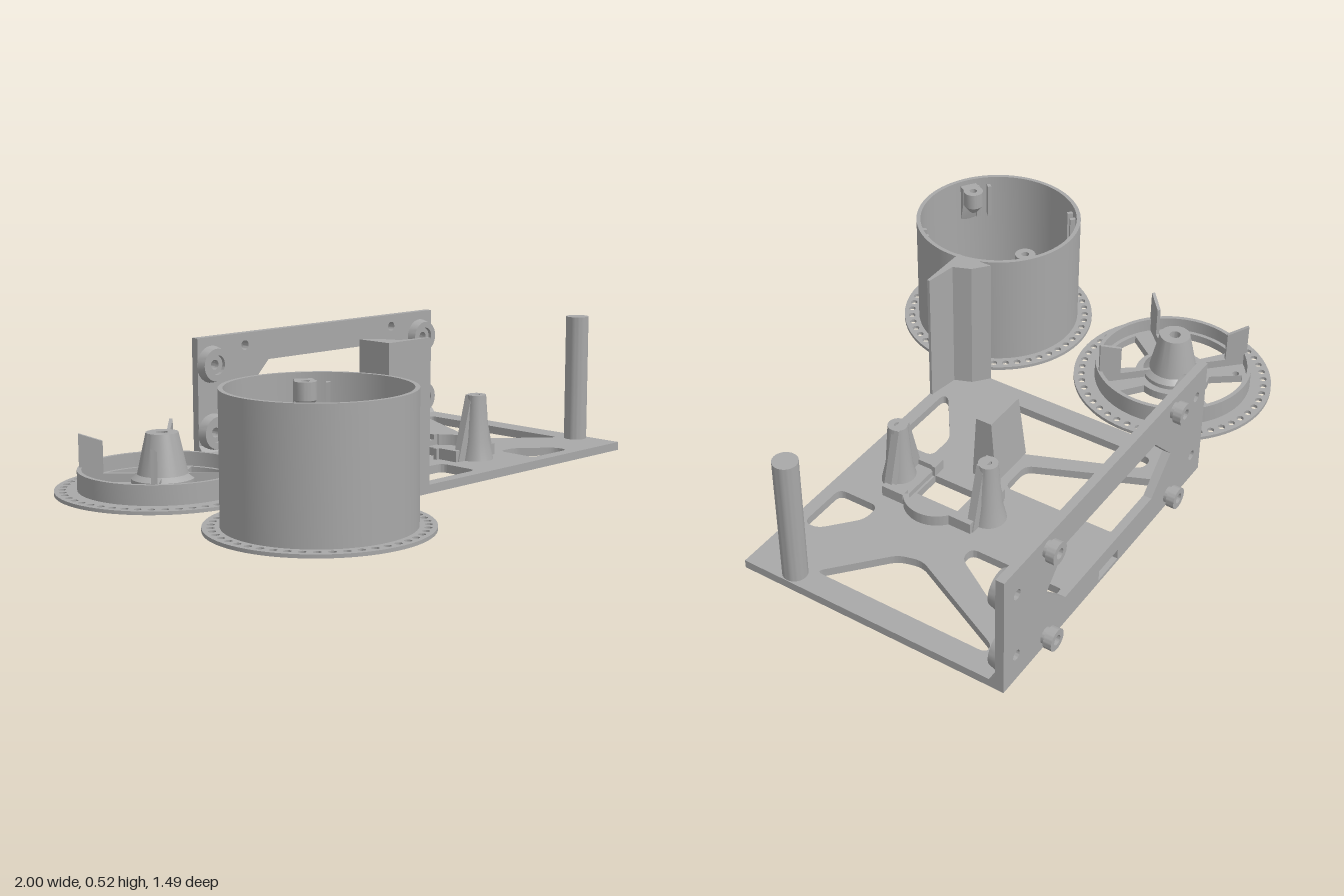
import * as THREE from 'three';
import { toCreasedNormals, mergeGeometries } from 'three/addons/utils/BufferGeometryUtils.js';

const plastic = new THREE.MeshStandardMaterial({ color: 0xa8a8a8 });
plastic.name = 'grey plastic';

function add(parent, name, geo, x = 0, y = 0, z = 0) {
  const mesh = new THREE.Mesh(toCreasedNormals(geo, 0.5), plastic);
  mesh.name = name;
  mesh.position.set(x, y, z);
  parent.add(mesh);
  return mesh;
}

const poly = (pts) => new THREE.Shape(pts.map(([x, y]) => new THREE.Vector2(x, y)));
const circle = (x, y, r) => new THREE.Path().absarc(x, y, r, 0, Math.PI * 2);

// closed outline whose corners are softened by curves
function rounded(pts, r = 0.03) {
  const v = pts.map(([x, y]) => new THREE.Vector2(x, y));
  const path = new THREE.Path();
  v.forEach((p, i) => {
    const prev = v[(i + v.length - 1) % v.length], next = v[(i + 1) % v.length];
    const toward = (q) => p.clone().lerp(q, Math.min(0.45, r / p.distanceTo(q)));
    const a = toward(prev), b = toward(next);
    if (i === 0) path.moveTo(a.x, a.y); else path.lineTo(a.x, a.y);
    path.quadraticCurveTo(p.x, p.y, b.x, b.y);
  });
  path.closePath();
  return path;
}

// shape drawn in x/z, rising from y0 to y1
function slab(shape, y0, y1, curveSegments = 16) {
  return new THREE.ExtrudeGeometry(shape, { depth: y1 - y0, bevelEnabled: false, curveSegments })
    .rotateX(Math.PI / 2).translate(0, y1, 0);
}

// shape drawn in x/y, running from z0 to z1
function plate(shape, z0, z1) {
  return new THREE.ExtrudeGeometry(shape, { depth: z1 - z0, bevelEnabled: false, curveSegments: 16 })
    .translate(0, 0, z0);
}

// closed revolved profile, listed counter-clockwise in radius/height
function turned(pts, segments = 72) {
  return new THREE.LatheGeometry([...pts, pts[0]].map(([r, y]) => new THREE.Vector2(r, y)), segments);
}
const tube = (ri, ro, y0, y1, n) => turned([[ri, y0], [ro, y0], [ro, y1], [ri, y1]], n);

// round flange with a ring of small holes
function flangeShape(innerR) {
  const s = new THREE.Shape().absarc(0, 0, 0.362, 0, Math.PI * 2);
  for (let i = 0; i < 48; i++) {
    const a = (i / 48) * Math.PI * 2;
    s.holes.push(circle(Math.cos(a) * 0.334, Math.sin(a) * 0.334, 0.0125));
  }
  if (innerR) s.holes.push(circle(0, 0, innerR));
  return s;
}

function frame() {
  const g = new THREE.Group();
  g.name = 'frame';

  // base plate with truss openings
  const base = poly([[-0.24, -0.67], [1, -0.67], [1, 0.29], [-0.24, 0.29]]);
  base.holes.push(
    rounded([[-0.16, -0.56], [-0.1, -0.56], [0.07, -0.15], [0.05, -0.1], [-0.16, 0.08]]),
    rounded([[-0.08, -0.645], [0.24, -0.645], [0.24, -0.215], [0.11, -0.215]]),
    rounded([[0.13, 0.085], [0.24, 0.085], [0.24, 0.245], [-0.06, 0.245], [-0.06, 0.22]]),
    rounded([[0.555, -0.645], [0.83, -0.645], [0.61, -0.29], [0.555, -0.29]]),
    rounded([[0.88, -0.58], [0.915, -0.58], [0.915, 0.07], [0.71, -0.11], [0.69, -0.19]]),
    rounded([[0.555, 0.085], [0.63, 0.085], [0.75, 0.19], [0.75, 0.245], [0.555, 0.245]]),
    poly([[0.32, -0.16], [0.43, -0.16], [0.43, 0.015], [0.32, 0.015]]));
  add(g, 'basePlate', slab(base, 0, 0.03));

  // upright back panel
  const panel = poly([[-0.24, 0], [1, 0], [1, 0.45], [-0.24, 0.45]]);
  panel.holes.push(
    poly([[-0.013, 0.222], [0.104, 0.11], [0.65, 0.11], [0.767, 0.222], [0.65, 0.34], [0.104, 0.34]]),
    poly([[0.32, 0.012], [0.44, 0.012], [0.44, 0.05], [0.32, 0.05]]));
  const bosses = [-0.175, 0.93].flatMap((x) => [0.1, 0.35].map((y) => [x, y]));
  const pegs = [-0.013, 0.765].flatMap((x) => [0.045, 0.404].map((y) => [x, y]));
  [...bosses, ...pegs].forEach(([x, y]) => panel.holes.push(circle(x, y, 0.018)));
  add(g, 'backPanel', plate(panel, -0.7, -0.67));
  add(g, 'panelFillet', plate(poly([[0, 0.03], [0.022, 0.03], [0, 0.055]]), 0, 1.24)
    .rotateY(-Math.PI / 2).rotateY(Math.PI).translate(0, 0, 0)
    .applyMatrix4(new THREE.Matrix4().makeRotationY(Math.PI)).translate(1, 0, -0.67));

  // screw bosses inside, flanged pegs outside
  for (const [x, y] of bosses) {
    add(g, 'screwBoss', turned([[0.018, 0], [0.068, 0], [0.06, 0.033], [0.036, 0.033], [0.036, 0.018], [0.018, 0.018]], 36)
      .rotateX(Math.PI / 2), x, y, -0.67);
  }
  for (const [x, y] of pegs) {
    add(g, 'panelPeg', turned([[0.018, 0], [0.028, 0], [0.028, 0.014], [0.038, 0.014], [0.038, 0.043], [0.018, 0.043]], 36)
      .rotateX(-Math.PI / 2), x, y, -0.7);
  }

  // round post and folded corner tower
  add(g, 'roundPost', new THREE.CylinderGeometry(0.042, 0.042, 0.465, 36), 0.955, 0.2625, 0.12);
  add(g, 'cornerTower', slab(poly([[-0.24, 0.29], [-0.045, 0.29], [-0.045, 0.28], [-0.16, 0.262],
    [-0.185, 0.2], [-0.24, 0.155]]), 0, 0.525));

  // tapered sensor block
  const block = new THREE.BoxGeometry(1, 1, 1);
  const p = block.attributes.position;
  for (let i = 0; i < p.count; i++) {
    const top = p.getY(i) > 0, right = p.getX(i) > 0, front = p.getZ(i) > 0;
    p.setXYZ(i, right ? 0.24 : top ? 0.07 : 0.05, top ? 0.275 : 0.03,
      front ? (top ? -0.1 : -0.085) : (top ? -0.16 : -0.18));
  }
  block.computeVertexNormals();
  add(g, 'sensorBlock', block);

  // motor cradle: two tapered towers, low walls and a curved stop
  for (const [z, out] of [[-0.25, -1], [0.11, 1]]) {
    add(g, 'cradleTower', turned([[0.012, 0.03], [0.062, 0.03], [0.046, 0.1], [0.034, 0.262], [0.012, 0.262]], 24), 0.395, 0, z);
    add(g, 'cradleRib', plate(poly([[0.3, 0.03], [0.49, 0.03], [0.425, 0.262], [0.365, 0.262]]),
      -0.014, 0.014), 0, 0, z - out * 0.012);
    const inner = z - out * 0.09, c = (z + inner) / 2;
    for (const x of [0.305, 0.485]) {
      add(g, 'cradleWall', new THREE.BoxGeometry(0.03, 0.04, 0.085), x, 0.05, c);
    }
    add(g, 'cradleFloor', new THREE.BoxGeometry(0.19, 0.02, 0.085), 0.395, 0.04, c);
    add(g, 'cradleLip', new THREE.BoxGeometry(0.05, 0.04, 0.015), 0.3, 0.05, inner);
  }
  const stop = new THREE.Shape();
  stop.absarc(0.43, -0.07, 0.115, -1, 1, false);
  stop.absarc(0.43, -0.07, 0.095, 1, -1, true);
  add(g, 'curvedStop', slab(stop, 0.03, 0.07));
  return g;
}

function spokedWheel() {
  const g = new THREE.Group();
  g.name = 'spokedWheel';
  const windows = [0, 1, 2, 3].map((i) => {
    const a = i * Math.PI / 2, w = new THREE.Path();
    w.absarc(0, 0, 0.255, a - 0.5, a + 0.5, false);
    w.absarc(0, 0, 0.135, a + 0.36, a - 0.36, true);
    w.closePath();
    return w;
  });
  const small = [[-0.12, -0.2], [0.12, 0.2], [0.15, -0.14]].map(([x, z]) => circle(x, z, 0.012));
  const flange = flangeShape(0.02);
  flange.holes.push(...windows, ...small);
  add(g, 'flange', slab(flange, 0, 0.012, 36));
  const web = new THREE.Shape().absarc(0, 0, 0.272, 0, Math.PI * 2);
  web.holes.push(circle(0, 0, 0.02), ...windows, ...small);
  add(g, 'spokes', slab(web, 0.012, 0.03, 36));
  add(g, 'rim', tube(0.27, 0.285, 0.012, 0.08));
  add(g, 'hub', turned([[0.02, 0.03], [0.107, 0.03], [0.107, 0.045], [0.086, 0.06], [0.055, 0.2], [0.02, 0.2]], 48));
  add(g, 'screwCollar', tube(0.012, 0.022, 0.03, 0.1, 24), 0.15, 0, -0.14);
  // diagonal fins that key into the drum
  const fin = poly([[0.08, 0.03], [0.28, 0.03], [0.28, 0.195], [0.2, 0.17], [0.2, 0.06], [0.08, 0.06]]);
  for (let i = 0; i < 4; i++) {
    add(g, 'fin', plate(fin, -0.006, 0.006)).rotation.y = Math.PI / 4 + i * Math.PI / 2;
  }
  g.position.set(-0.637, 0, -0.383);
  return g;
}

function drum() {
  const g = new THREE.Group();
  g.name = 'drum';
  add(g, 'flange', slab(flangeShape(0.292), 0, 0.012, 36));
  add(g, 'wall', tube(0.291, 0.306, 0.006, 0.44, 96));
  // paired guide ribs for the fins
  for (let i = 0; i < 4; i++) {
    const ribs = mergeGeometries([-0.022, 0.022].map((z) =>
      new THREE.BoxGeometry(0.026, 0.13, 0.014).translate(0.282, 0.345, z)));
    add(g, 'guideRibs', ribs).rotation.y = Math.PI / 4 + i * Math.PI / 2;
  }
  // screw lugs hanging from the inner wall
  for (const a of [-0.99, Math.PI - 0.99]) {
    const lug = new THREE.Group();
    lug.name = 'screwLug';
    add(lug, 'lugCollar', turned([[0.014, 0.33], [0.037, 0.36], [0.037, 0.42], [0.014, 0.42]], 24), 0.24);
    add(lug, 'lugWeb', plate(poly([[0.262, 0.36], [0.296, 0.25], [0.296, 0.42], [0.262, 0.42]]), -0.032, 0.032));
    lug.rotation.y = -a;
    g.add(lug);
  }
  g.position.set(-0.635, 0, 0.378);
  return g;
}

export function createModel() {
  const model = new THREE.Group();
  model.name = 'printedRobotParts';
  model.add(frame(), spokedWheel(), drum());
  return model;
}
